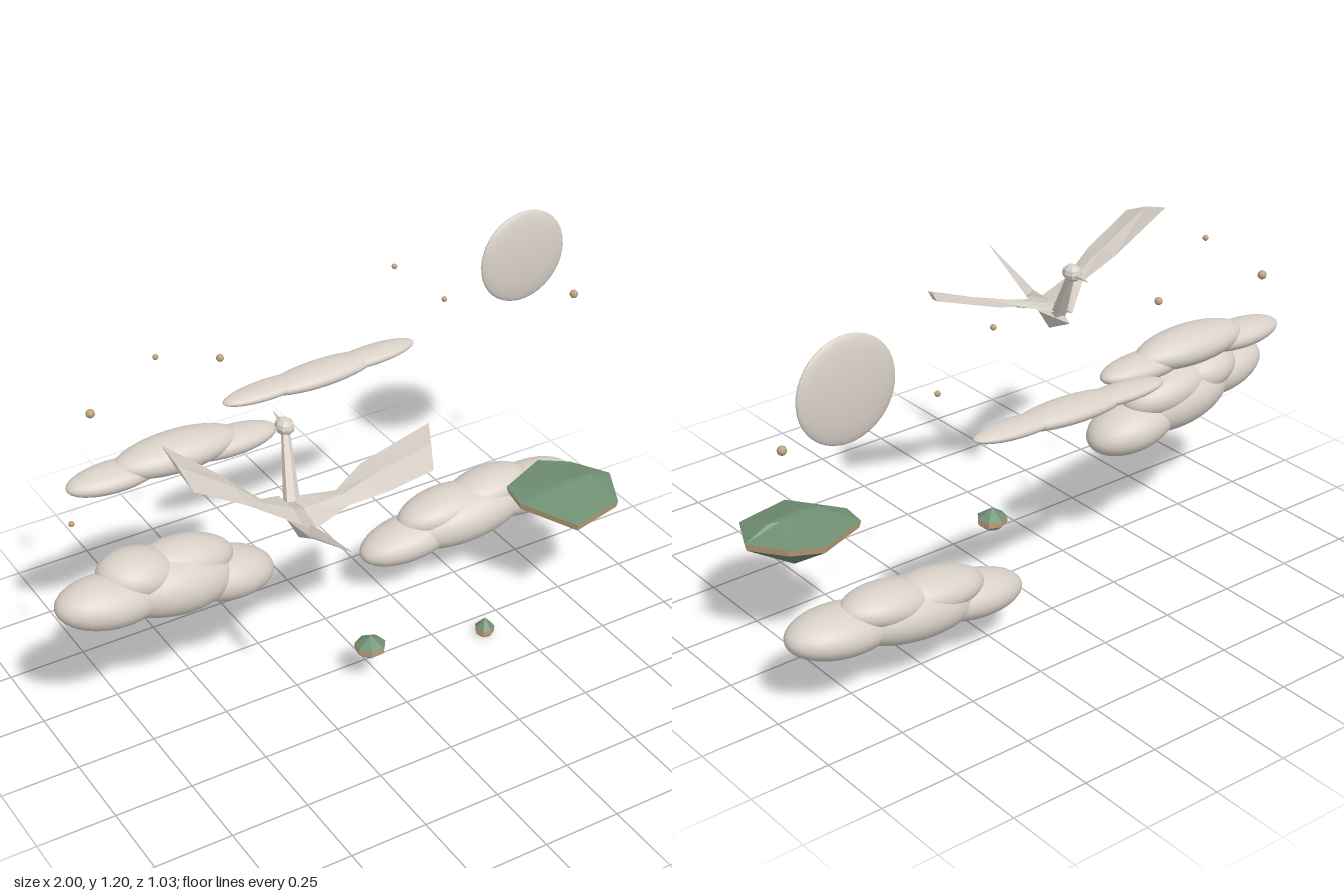
import * as THREE from 'three';

const paper = new THREE.MeshStandardMaterial({ color: 0xd9d1c8 });
const green = new THREE.MeshStandardMaterial({ color: 0x6f8f72 });
const tan = new THREE.MeshStandardMaterial({ color: 0xc0a27c });
paper.name = 'paper';
green.name = 'moss green';
tan.name = 'tan';

// Faceted closed solid through rings of equal length, turned outward by its signed volume
function loft(rings) {
  const tris = [];
  const n = rings[0].length;
  const centre = (r) => [0, 1, 2].map((k) => r.reduce((s, p) => s + p[k], 0) / n);
  const first = centre(rings[0]);
  const last = centre(rings[rings.length - 1]);
  for (let j = 0; j < n; j++) {
    const k = (j + 1) % n;
    tris.push([first, rings[0][k], rings[0][j]]);
    for (let i = 0; i < rings.length - 1; i++) {
      const a = rings[i], b = rings[i + 1];
      tris.push([a[j], a[k], b[k]], [a[j], b[k], b[j]]);
    }
    const end = rings[rings.length - 1];
    tris.push([last, end[j], end[k]]);
  }
  let volume = 0;
  const v = (p) => new THREE.Vector3(p[0] - first[0], p[1] - first[1], p[2] - first[2]);
  for (const [a, b, c] of tris) volume += v(a).dot(v(b).cross(v(c)));
  if (volume < 0) tris.forEach((t) => t.reverse());
  const g = new THREE.BufferGeometry();
  g.setAttribute('position', new THREE.Float32BufferAttribute(tris.flat(2), 3));
  g.computeVertexNormals();
  return g;
}

function add(parent, name, geometry, material) {
  const mesh = new THREE.Mesh(geometry, material);
  mesh.name = name;
  parent.add(mesh);
  return mesh;
}

function group(parent, name) {
  const g = new THREE.Group();
  g.name = name;
  parent.add(g);
  return g;
}

// Cloud of overlapping ellipsoids: [x, y, z, rx, ry, rz]
function cloud(parent, name, tilt, puffs) {
  const g = group(parent, name);
  const ball = new THREE.SphereGeometry(1, 32, 20);
  for (const [x, y, z, rx, ry, rz] of puffs) {
    const m = add(g, 'puff', ball, paper);
    m.position.set(x, y, z);
    m.scale.set(rx, ry, rz);
    m.rotation.z = tilt;
  }
}

// Floating rock: mossy cap, tan band, tapered underside
function island(parent, name, rim, cap, band, base, baseMaterial) {
  const g = group(parent, name);
  const ring = ([x, z], y, sx, sz) => rim.map(([px, pz, py]) =>
    [x + (px - x) * sx, y ?? py, z + (pz - z) * sz]);
  const c = [cap.x, cap.z];
  const edge = ring(c, null, 1, 1);
  const lower = ring(c, null, 0.97, 0.97).map(([x, y, z]) => [x, y - band, z]);
  add(g, 'mossCap', loft([ring(c, cap.y, cap.sx, cap.sz), edge]), green);
  add(g, 'rockBand', loft([edge, lower]), tan);
  add(g, 'underside', loft([lower, ring(c, base.y, base.s, base.s)]), baseMaterial);
}

const polygon = (x, z, r, y, n, turn) => Array.from({ length: n }, (_, i) => {
  const a = turn + (i / n) * Math.PI * 2;
  return [x + r * Math.cos(a), z + r * Math.sin(a), y];
});

// Wing from stations: leading edge and trailing edge, with a thin diamond section
function wing(parent, name, stations) {
  add(parent, name, loft(stations.map(([lead, trail, t]) => {
    const mid = lead.map((v, k) => (v + trail[k]) / 2);
    return [lead, [mid[0], mid[1] + t, mid[2]], trail, [mid[0], mid[1] - t, mid[2]]];
  })), paper);
}

// Straight tapered limb between two points
function limb(parent, name, a, b, ra, rb, sides) {
  const from = new THREE.Vector3(...a), dir = new THREE.Vector3(...b).sub(from);
  const geo = new THREE.CylinderGeometry(rb, ra, dir.length(), sides).toNonIndexed();
  geo.computeVertexNormals();
  const m = add(parent, name, geo, paper);
  m.position.copy(from).addScaledVector(dir, 0.5);
  m.quaternion.setFromUnitVectors(new THREE.Vector3(0, 1, 0), dir.normalize());
}

function bird(parent) {
  const g = group(parent, 'paperBird');
  // Folded body, pointed at chest and rump
  add(g, 'body', loft([
    [[-0.3, 0.77, 0.04], [-0.3, 0.77, 0.04], [-0.3, 0.77, 0.04], [-0.3, 0.77, 0.04]],
    [[-0.365, 0.77, 0.17], [-0.325, 0.8, 0.17], [-0.285, 0.77, 0.17], [-0.33, 0.7, 0.175]],
    [[-0.355, 0.775, 0.29], [-0.34, 0.797, 0.295], [-0.325, 0.775, 0.29], [-0.34, 0.76, 0.28]],
  ]), paper);
  limb(g, 'tail', [-0.337, 0.777, 0.27], [-0.357, 0.865, 0.515], 0.022, 0.001, 4);
  limb(g, 'neck', [-0.315, 0.78, 0.11], [-0.273, 0.95, 0.007], 0.025, 0.013, 6);
  const headGeo = new THREE.SphereGeometry(0.03, 8, 6).toNonIndexed();
  headGeo.computeVertexNormals();
  const head = add(g, 'head', headGeo, paper);
  head.position.set(-0.27, 0.963, -0.003);
  head.scale.set(0.95, 0.9, 1.15);
  limb(g, 'beak', [-0.268, 0.963, -0.03], [-0.258, 0.964, -0.09], 0.009, 0.001, 5);
  wing(g, 'rightWing', [
    [[-0.335, 0.785, 0.07], [-0.335, 0.775, 0.24], 0.012],
    [[-0.43, 0.845, 0.135], [-0.43, 0.835, 0.212], 0.012],
    [[-0.52, 0.925, 0.085], [-0.52, 0.905, 0.22], 0.012],
    [[-0.685, 1.06, 0.04], [-0.677, 1, 0.215], 0.008],
  ]);
  wing(g, 'leftWing', [
    [[-0.31, 0.785, 0.09], [-0.315, 0.775, 0.255], 0.012],
    [[-0.2, 0.812, 0.165], [-0.2, 0.807, 0.245], 0.012],
    [[-0.095, 0.85, 0.13], [-0.09, 0.835, 0.28], 0.012],
    [[0.128, 0.925, 0.147], [0.042, 0.88, 0.31], 0.01],
  ]);
}

export function createModel() {
  const model = new THREE.Group();
  model.name = 'skyScene';

  const moon = add(model, 'moon', new THREE.SphereGeometry(0.158, 32, 20), paper);
  moon.position.set(0.82, 1.045, -0.382);
  moon.scale.z = 0.155;

  // Stars: x, y, z, radius
  for (const [x, y, z, r] of [
    [-0.52, 1.113, -0.315, 0.009], [-0.717, 0.958, -0.363, 0.014], [-0.275, 1, -0.385, 0.012],
    [0.366, 1.112, -0.427, 0.009], [0.54, 0.957, -0.405, 0.009], [0.984, 0.891, -0.315, 0.014],
    [-0.87, 0.714, -0.207, 0.009],
  ]) add(model, 'star', new THREE.SphereGeometry(r, 10, 8), tan).position.set(x, y, z);

  cloud(model, 'leftLowCloud', -0.14, [
    [-0.83, 0.51, -0.07, 0.17, 0.078, 0.1], [-0.62, 0.487, -0.095, 0.21, 0.1, 0.12],
    [-0.432, 0.44, -0.107, 0.162, 0.078, 0.105], [-0.725, 0.553, -0.1, 0.125, 0.072, 0.1],
    [-0.56, 0.533, -0.115, 0.16, 0.07, 0.09],
  ]);
  cloud(model, 'rightLowCloud', 0.1, [
    [0.335, 0.19, -0.275, 0.182, 0.067, 0.095], [0.55, 0.222, -0.27, 0.24, 0.092, 0.115],
    [0.788, 0.238, -0.265, 0.18, 0.073, 0.105], [0.465, 0.258, -0.28, 0.165, 0.062, 0.09],
    [0.64, 0.277, -0.28, 0.155, 0.062, 0.09],
  ]);
  cloud(model, 'leftHighCloud', 0, [
    [-0.68, 0.757, -0.31, 0.155, 0.04, 0.067], [-0.475, 0.778, -0.308, 0.207, 0.057, 0.083],
    [-0.3, 0.757, -0.305, 0.165, 0.04, 0.065],
  ]);
  cloud(model, 'backHighCloud', 0.03, [
    [-0.075, 0.792, -0.455, 0.16, 0.023, 0.05], [0.11, 0.794, -0.452, 0.205, 0.032, 0.064],
    [0.298, 0.801, -0.455, 0.158, 0.023, 0.05],
  ]);

  island(model, 'largeIsland', [
    [0.555, 0.03, 0.42], [0.57, -0.065, 0.425], [0.74, -0.135, 0.43], [0.83, -0.08, 0.425],
    [0.905, 0.035, 0.42], [0.84, 0.17, 0.41], [0.655, 0.21, 0.405],
  ], { x: 0.735, y: 0.452, z: 0.045, sx: 0.5, sz: 0.08 }, 0.022, { y: 0.29, s: 0 }, green);
  island(model, 'smallIsland', polygon(-0.045, 0.105, 0.05, 0.15, 7, 0.2),
    { x: -0.045, y: 0.183, z: 0.105, sx: 0, sz: 0 }, 0.018, { y: 0.112, s: 0.5 }, tan);
  island(model, 'tinyIsland', polygon(0.4, 0.083, 0.032, 0.028, 7, 0.5),
    { x: 0.4, y: 0.063, z: 0.083, sx: 0, sz: 0 }, 0.018, { y: 0, s: 0.7 }, tan);

  bird(model);
  return model;
}
